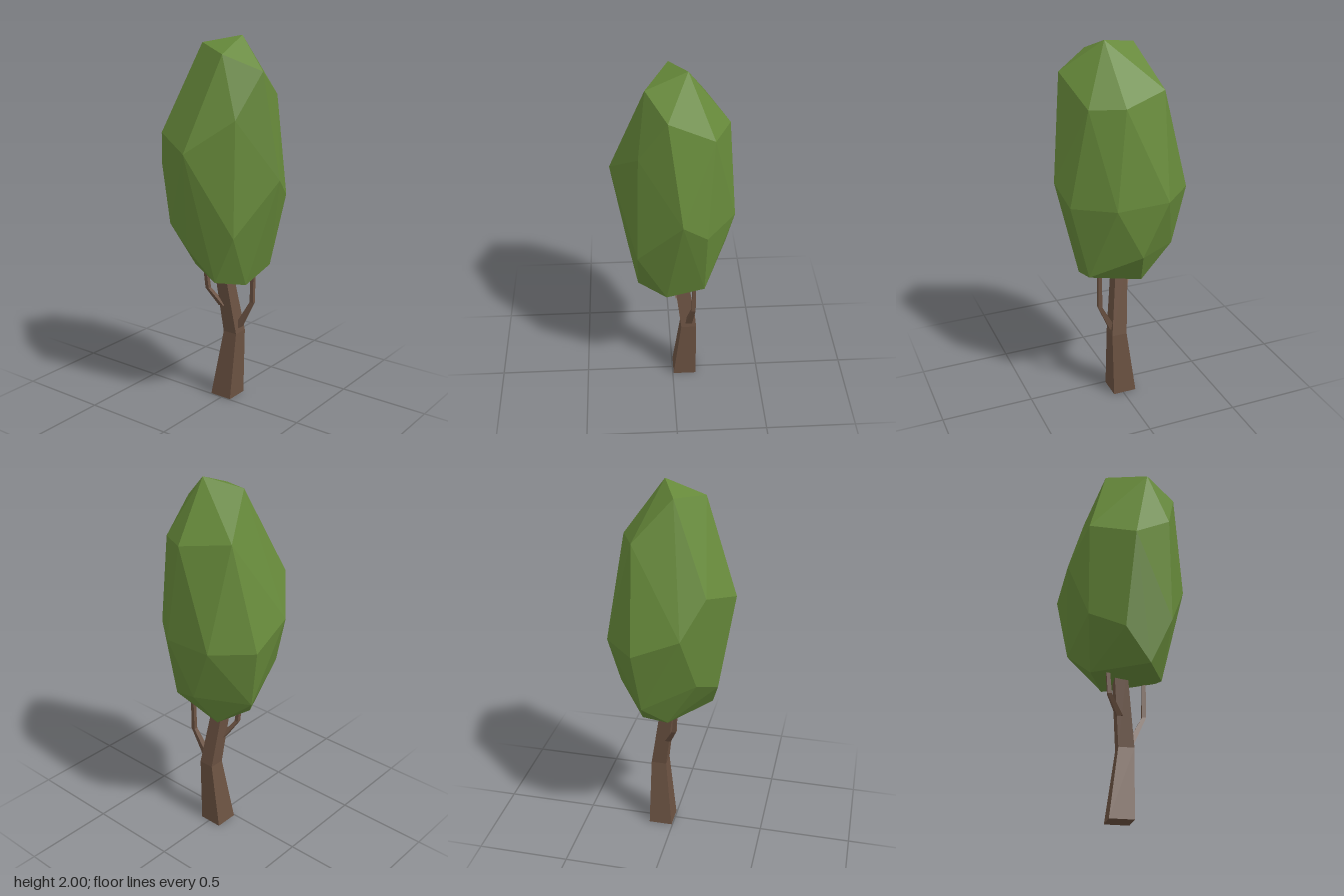
import * as THREE from 'three';
import { ConvexGeometry } from 'three/addons/geometries/ConvexGeometry.js';

// Square-sectioned limb through stations [x, y, z, halfWidth], listed bottom to top
function limbGeometry(stations) {
  const corners = [[-1, 1], [1, 1], [1, -1], [-1, -1]];
  const positions = [];
  const indices = [];
  for (const [x, y, z, h] of stations) {
    for (const [cx, cz] of corners) positions.push(x + cx * h, y, z + cz * h);
  }
  for (let s = 0; s < stations.length - 1; s++) {
    for (let i = 0; i < 4; i++) {
      const a = s * 4 + i;
      const b = s * 4 + ((i + 1) % 4);
      indices.push(a, b, b + 4, a, b + 4, a + 4);
    }
  }
  // End caps
  const t = (stations.length - 1) * 4;
  indices.push(0, 2, 1, 0, 3, 2, t, t + 1, t + 2, t, t + 2, t + 3);
  const indexed = new THREE.BufferGeometry();
  indexed.setAttribute('position', new THREE.Float32BufferAttribute(positions, 3));
  indexed.setIndex(indices);
  const geometry = indexed.toNonIndexed();
  geometry.computeVertexNormals();
  return geometry;
}

export function createModel() {
  const tree = new THREE.Group();
  tree.name = 'tree';

  const leafGreen = new THREE.MeshStandardMaterial({ color: 0x66893a, flatShading: true });
  leafGreen.name = 'leafGreen';
  const barkBrown = new THREE.MeshStandardMaterial({ color: 0x6b5242, flatShading: true });
  barkBrown.name = 'barkBrown';

  const add = (name, geometry, material) => {
    const mesh = new THREE.Mesh(geometry, material);
    mesh.name = name;
    tree.add(mesh);
  };

  // Crown: faceted hull, ring by ring from the top down
  const crownPoints = [
    // top
    [0.08, 2.0, -0.07], [-0.11, 1.96, 0.015], [0.105, 1.92, 0.135], [0.28, 1.84, 0.035],
    // shoulder
    [-0.2, 1.75, -0.175], [0.05, 1.71, -0.28], [0.213, 1.7, -0.195], [0.215, 1.61, 0.175],
    [-0.23, 1.51, 0.205],
    // waist
    [0, 1.44, 0.318], [-0.325, 1.31, 0.095], [0.342, 1.29, -0.036], [-0.345, 1.21, -0.15],
    [-0.17, 1.21, -0.32], [0.11, 1.2, -0.315], [0.302, 1.19, -0.16],
    // lower ring
    [-0.22, 1.015, 0.16], [0.217, 1.01, 0.19], [-0.04, 0.925, 0.24], [-0.043, 0.91, -0.29],
    [-0.285, 0.88, -0.115],
    // underside
    [0.205, 0.785, -0.16], [-0.18, 0.755, 0], [0.1, 0.755, 0.19], [0.19, 0.72, 0.04],
    [-0.09, 0.715, -0.16],
  ].map((p) => new THREE.Vector3(...p));
  add('crown', new ConvexGeometry(crownPoints), leafGreen);

  // Trunk: bends at mid height and ends inside the crown
  add('trunk', limbGeometry([
    [-0.01, 0, -0.07, 0.065],
    [0.022, 0.38, -0.09, 0.042],
    [-0.019, 0.8, -0.03, 0.034],
  ]), barkBrown);

  // Branches: lean out from the trunk, then turn upward into the crown
  add('leftBranch', limbGeometry([
    [0.05, 0.41, -0.09, 0.018],
    [0.128, 0.565, -0.11, 0.011],
    [0.13, 0.8, -0.113, 0.009],
  ]), barkBrown);
  add('rightBranch', limbGeometry([
    [-0.018, 0.54, -0.035, 0.016],
    [-0.08, 0.64, 0.013, 0.011],
    [-0.094, 0.8, 0.025, 0.009],
  ]), barkBrown);

  return tree;
}
